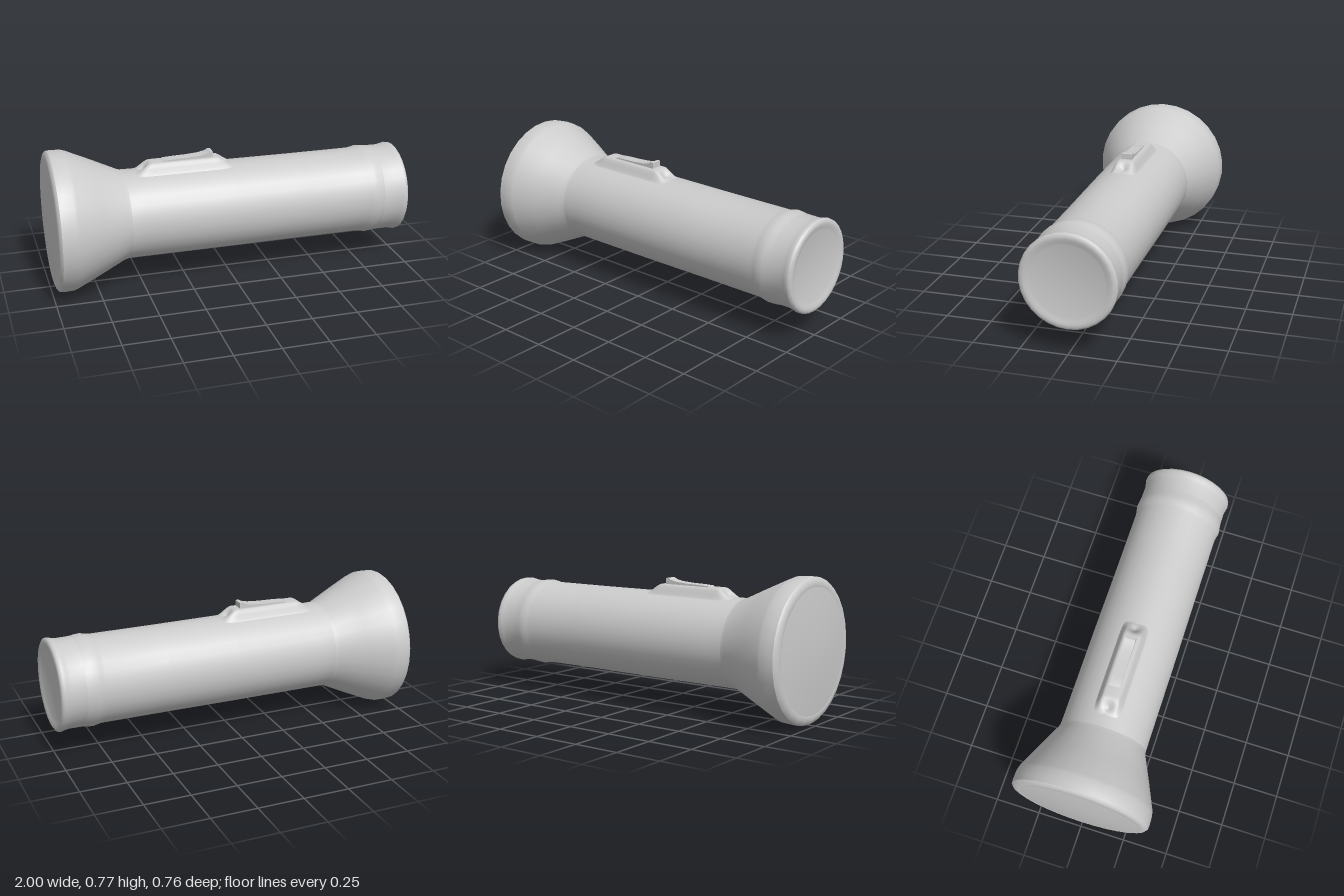
import * as THREE from 'three';
import { toCreasedNormals } from 'three/addons/utils/BufferGeometryUtils.js';

const AXIS_Y = 0.383;
const BODY_R = 0.242;
const material = new THREE.MeshStandardMaterial({ color: 0xcccccc });

function addMesh(group, name, geometry, mat = material) {
  const mesh = new THREE.Mesh(geometry, mat);
  mesh.name = name;
  group.add(mesh);
  return mesh;
}

// Turned part lying along x; profile rows are [x, radius]
function turned(group, name, profile, crease = 0.6) {
  const points = profile.map(([x, r]) => new THREE.Vector2(r, x));
  const lathe = new THREE.LatheGeometry(points, 30, Math.PI / 2);
  lathe.rotateZ(-Math.PI / 2).translate(0, AXIS_Y, 0);
  return addMesh(group, name, toCreasedNormals(lathe, crease));
}

// Raised housing under the switch: a height field with ramped ends and scoops
function switchHousing() {
  const geo = new THREE.PlaneGeometry(0.6, 0.18, 60, 24);
  geo.rotateX(-Math.PI / 2).translate(-0.24, 0, 0);
  const pos = geo.attributes.position;
  const step = THREE.MathUtils.smoothstep;
  for (let i = 0; i < pos.count; i++) {
    const x = pos.getX(i), z = pos.getZ(i);
    const skin = AXIS_Y + Math.sqrt(BODY_R ** 2 - z * z) - 0.004;
    const along = Math.abs(x + 0.24);
    const raise = (1 - step(along, 0.18, 0.285)) * (1 - step(Math.abs(z), 0.042, 0.08));
    const top = 0.672 - 1.5 * z * z;
    const scoop = 0.022 * Math.exp(-(((along - 0.225) / 0.022) ** 2) - (z / 0.024) ** 2);
    pos.setY(i, Math.max(skin, skin + (top - skin) * raise - scoop));
  }
  geo.computeVertexNormals();
  return geo;
}

// Thumb slider: side profile with a raised lip, extruded across z
function switchSlider() {
  const side = new THREE.Shape([
    [-0.36, 0.65], [-0.08, 0.65], [-0.08, 0.703], [-0.095, 0.705], [-0.11, 0.695],
    [-0.15, 0.686], [-0.22, 0.681], [-0.3, 0.679], [-0.35, 0.676], [-0.36, 0.672],
  ].map(([x, y]) => new THREE.Vector2(x, y)));
  const geo = new THREE.ExtrudeGeometry(side, { depth: 0.06, bevelEnabled: false });
  geo.translate(0, 0, -0.03);
  return toCreasedNormals(geo, 0.7);
}

export function createModel() {
  const group = new THREE.Group();
  group.name = 'flashlight';

  // Flared head with a rounded rim
  turned(group, 'head', [
    [-0.98, 0.325], [-0.983, 0.335], [-0.981, 0.355], [-0.975, 0.372], [-0.965, 0.381],
    [-0.94, 0.383], [-0.89, 0.381], [-0.87, 0.375], [-0.74, 0.316], [-0.6, 0.25], [-0.575, 0.243],
  ]);

  // Gently domed lens
  turned(group, 'lens', [
    [-1, 0], [-0.998, 0.11], [-0.992, 0.22], [-0.982, 0.332],
  ]);

  // Straight barrel with a raised ring before the tail
  turned(group, 'barrel', [
    [-0.58, 0.243], [-0.5, BODY_R], [0, BODY_R], [0.4, 0.24], [0.75, 0.24],
    [0.775, 0.244], [0.8, 0.25], [0.825, 0.248], [0.86, 0.243],
  ]);

  // Tail cap with a rolled edge and shallow recessed end
  turned(group, 'tailCap', [
    [0.86, 0.243], [0.935, 0.242], [0.96, 0.247], [0.98, 0.252], [0.992, 0.25],
    [1, 0.238], [0.999, 0.222], [0.994, 0.205], [0.99, 0.19], [0.99, 0],
  ], 0.9);

  const switchGroup = new THREE.Group();
  switchGroup.name = 'switch';
  addMesh(switchGroup, 'switchHousing', switchHousing());
  addMesh(switchGroup, 'switchSlider', switchSlider());
  group.add(switchGroup);

  return group;
}
